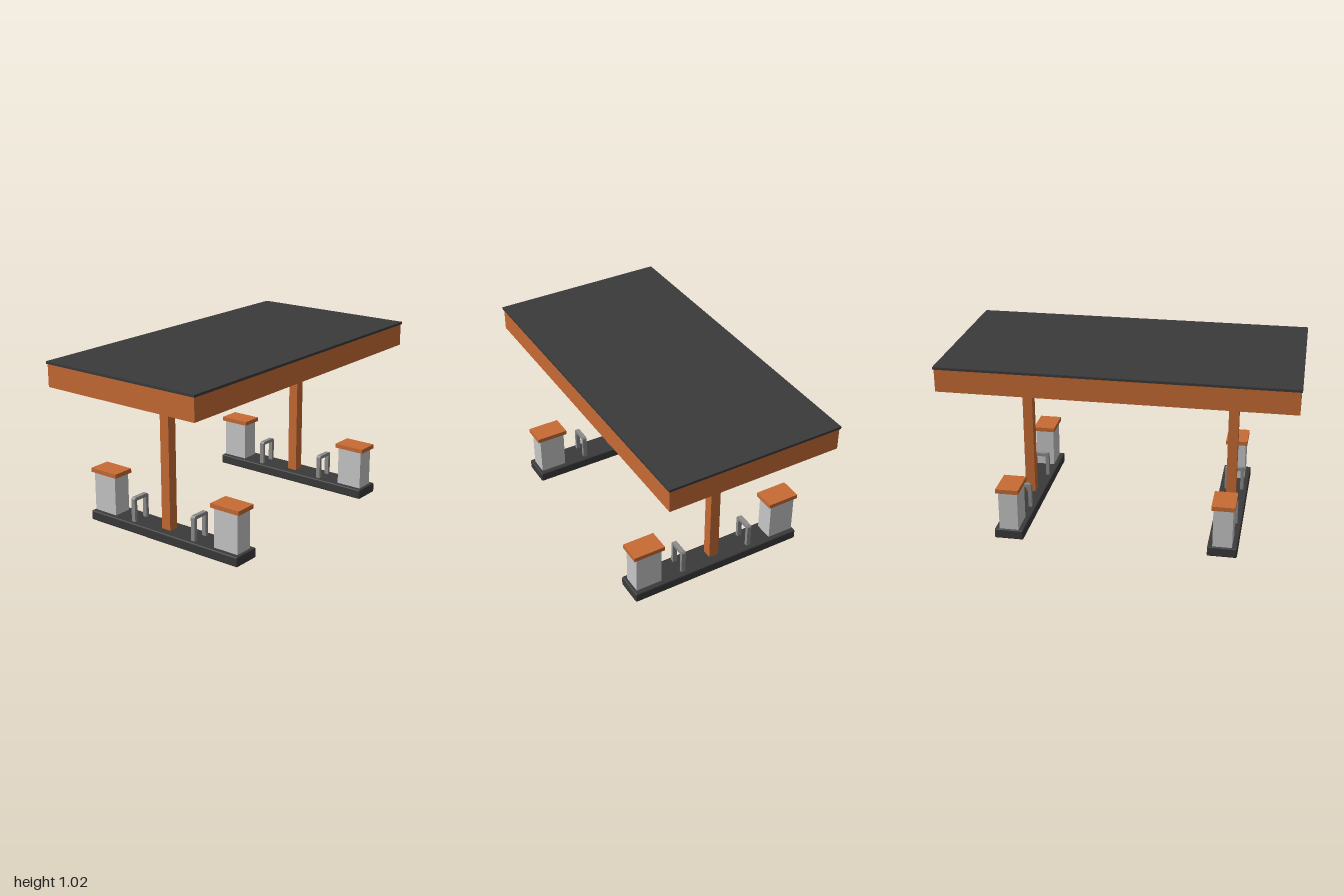
import * as THREE from 'three';
import { RoundedBoxGeometry } from 'three/addons/geometries/RoundedBoxGeometry.js';

const material = (name, color) => {
  const m = new THREE.MeshStandardMaterial({ color });
  m.name = name;
  return m;
};

export function createModel() {
  const charcoal = material('charcoal', 0x3a3a3a);
  const orange = material('orange', 0xc86b34);
  const lightGrey = material('lightGrey', 0xc8c8c8);
  const midGrey = material('midGrey', 0x8c8c8c);

  const model = new THREE.Group();
  model.name = 'fuelStation';

  const add = (parent, name, geometry, mat, x, y, z) => {
    const mesh = new THREE.Mesh(geometry, mat);
    mesh.name = name;
    mesh.position.set(x, y, z);
    parent.add(mesh);
    return mesh;
  };
  // box given by its size and the height of its underside
  const box = (parent, name, mat, [w, h, d], x, bottom, z) =>
    add(parent, name, new THREE.BoxGeometry(w, h, d), mat, x, bottom + h / 2, z);

  // Canopy: orange fascia with a dark underside, dark roof sheet on top
  const fascia = box(model, 'canopyFascia', orange, [1.98, 0.13, 1.02], 0, 0.876, -0.005);
  fascia.material = [orange, orange, orange, charcoal, orange, orange];
  box(model, 'roofSheet', charcoal, [1.992, 0.014, 1.032], 0, 1.006, -0.005);

  // Guard hoop: square-section bar bent into an upside-down U
  const hoopShape = (w, h, r) => {
    const s = new THREE.Shape();
    const outer = w / 2, inner = w / 2 - 0.02, top = h - 0.02;
    s.moveTo(-outer, 0);
    s.lineTo(-outer, h - r);
    s.lineTo(-outer + r, h);
    s.lineTo(outer - r, h);
    s.lineTo(outer, h - r);
    s.lineTo(outer, 0);
    s.lineTo(inner, 0);
    s.lineTo(inner, top);
    s.lineTo(-inner, top);
    s.lineTo(-inner, 0);
    s.closePath();
    return s;
  };
  const hoopGeometry = new THREE.ExtrudeGeometry(hoopShape(0.115, 0.146, 0.01),
    { depth: 0.026, bevelEnabled: false });
  hoopGeometry.translate(0, 0, -0.013);

  // Two islands, each with a post, two pumps and two hoops
  for (const [side, x] of [['right', -0.611], ['left', 0.607]]) {
    const island = new THREE.Group();
    island.name = side + 'Island';
    island.position.x = x;
    model.add(island);

    add(island, 'islandBase', new RoundedBoxGeometry(0.168, 0.058, 1.07, 2, 0.008),
      charcoal, 0, 0.031, 0.002);
    box(island, 'canopyPost', orange, [0.058, 0.826, 0.06], -0.002, 0.055, -0.003);

    for (const s of [1, -1]) {
      const end = s > 0 ? 'front' : 'back';
      box(island, end + 'PumpBody', lightGrey, [0.11, 0.235, 0.158], 0, 0.058, s * 0.441 - 0.003);
      box(island, end + 'PumpCap', orange, [0.131, 0.025, 0.19], 0, 0.291, s * 0.441 - 0.003);
      add(island, end + 'GuardHoop', hoopGeometry, midGrey, -0.003, 0.059, s * 0.219 - 0.004);
    }
  }

  // The whole structure stands very slightly turned
  model.rotation.y = 0.005;
  const root = new THREE.Group();
  root.name = 'station';
  root.add(model);
  return root;
}
